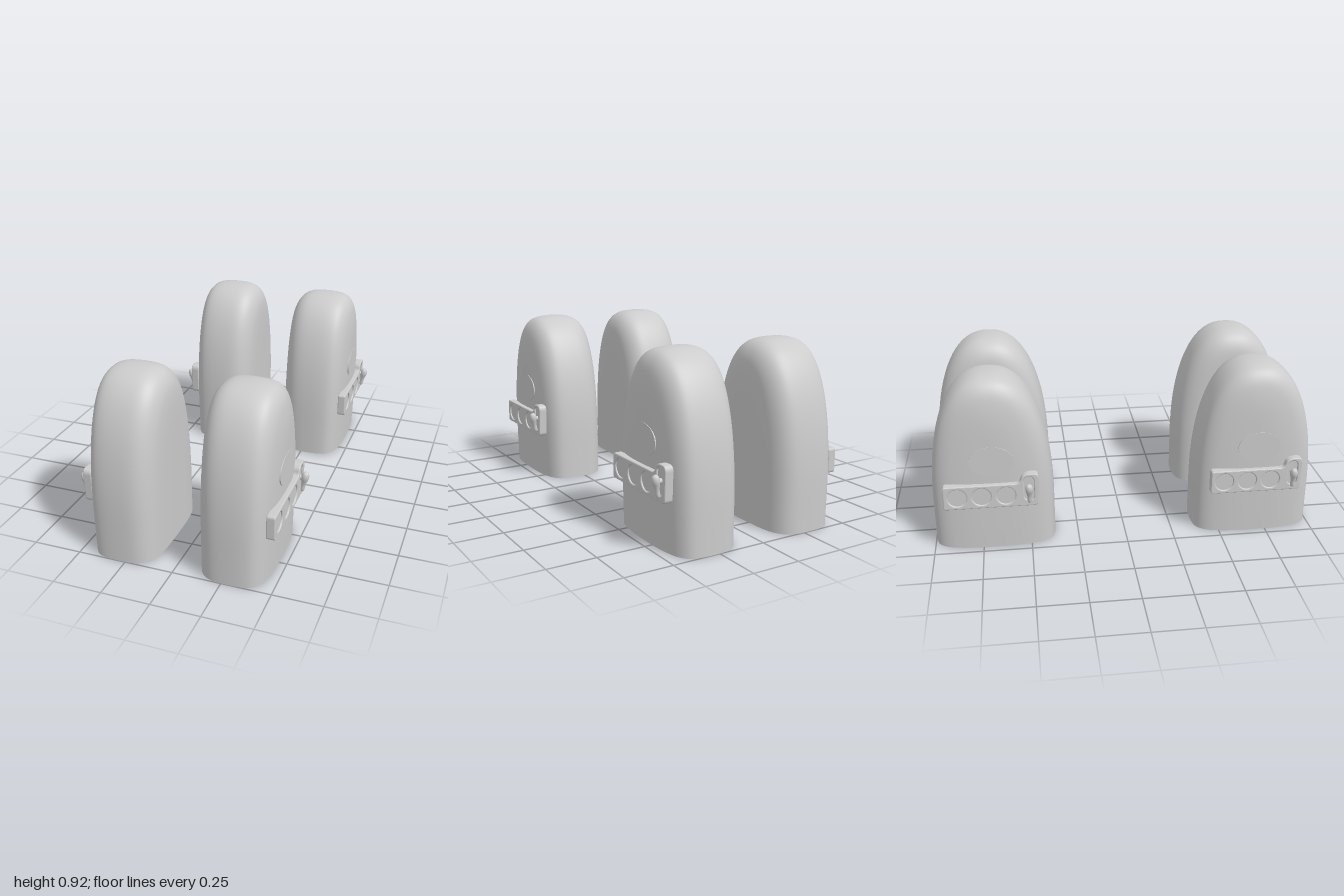
import * as THREE from 'three';

const material = new THREE.MeshStandardMaterial({ color: 0xcccccc, side: THREE.DoubleSide });

function addMesh(parent, name, geometry) {
  const mesh = new THREE.Mesh(geometry, material);
  mesh.name = name;
  parent.add(mesh);
  return mesh;
}

// Hollow hood: an arch lofted across x, shrinking toward both side faces. Open below.
function shellGeometry() {
  const half = 0.315, height = 0.92, spring = 0.2, p = 2.35;
  const arch = [[1, 0], [1, spring / 2]];
  const steps = 48;
  for (let i = 0; i <= steps; i++) {
    const a = (Math.PI * i) / steps;
    const c = Math.cos(a), s = Math.max(0, Math.sin(a));
    arch.push([Math.sign(c) * Math.abs(c) ** (2 / p), spring + (height - spring) * s ** (2 / p)]);
  }
  arch.push([-1, spring / 2], [-1, 0]);

  // Pairs of x and inset, from the inner face to the outer face
  const profile = new THREE.SplineCurve([
    [0.103, 0.315], [0.104, 0.23], [0.108, 0.15], [0.12, 0.085], [0.15, 0.035], [0.2, 0.007],
    [0.28, 0], [0.36, 0.005], [0.41, 0.024], [0.443, 0.07], [0.46, 0.14], [0.468, 0.22], [0.47, 0.315],
  ].map(([x, d]) => new THREE.Vector2(x, d))).getPoints(48);

  const positions = [], index = [], n = arch.length;
  profile.forEach(({ x, y: inset }, i) => {
    const d = THREE.MathUtils.clamp(inset, 0, half);
    arch.forEach(([az, ay], j) => {
      const y = (ay * (height - d)) / height;
      const taper = 0.008 * Math.max(0, (x - 0.28) / 0.19) * Math.max(0, 1 - y / 0.6) ** 2;
      positions.push(x - taper, y, az * (half - d));
      if (i < profile.length - 1 && j < n - 1) {
        const a = i * n + j, b = a + n;
        index.push(a, b, a + 1, b, b + 1, a + 1);
      }
    });
  });
  const geometry = new THREE.BufferGeometry();
  geometry.setAttribute('position', new THREE.Float32BufferAttribute(positions, 3));
  geometry.setIndex(index);
  geometry.computeVertexNormals();
  return geometry;
}

function capsuleShape(u, y, w, h, Type = THREE.Path) {
  const r = w / 2, k = h / 2 - r;
  const path = new Type();
  path.absarc(u, y + k, r, 0, Math.PI);
  path.absarc(u, y - k, r, Math.PI, Math.PI * 2);
  path.closePath();
  return path;
}

// Control plate with a raised end, three round wells and a lever slot
function plateGeometry(wells) {
  const s = new THREE.Shape();
  s.moveTo(-0.235, 0.25);
  s.lineTo(0.205, 0.25);
  s.quadraticCurveTo(0.225, 0.25, 0.227, 0.27);
  s.lineTo(0.233, 0.4);
  s.quadraticCurveTo(0.233, 0.43, 0.205, 0.43);
  s.lineTo(0.185, 0.43);
  s.quadraticCurveTo(0.148, 0.428, 0.142, 0.4);
  s.quadraticCurveTo(0.136, 0.378, 0.11, 0.378);
  s.lineTo(-0.235, 0.378);
  s.quadraticCurveTo(-0.25, 0.378, -0.25, 0.363);
  s.lineTo(-0.25, 0.265);
  s.quadraticCurveTo(-0.25, 0.25, -0.235, 0.25);
  wells.forEach((u) => s.holes.push(new THREE.Path().absarc(u, 0.315, 0.048, 0, Math.PI * 2, true)));
  s.holes.push(capsuleShape(0.182, 0.348, 0.05, 0.135));
  return new THREE.ExtrudeGeometry(s, {
    depth: 0.033, bevelThickness: 0.006, bevelSize: 0.006, bevelOffset: -0.006, bevelSegments: 3, curveSegments: 16,
  });
}

function createPod() {
  const pod = new THREE.Group();
  addMesh(pod, 'shell', shellGeometry());

  // Controls are laid out facing +z, then turned onto the outer face
  const controls = new THREE.Group();
  controls.name = 'controls';
  controls.rotation.y = Math.PI / 2;
  pod.add(controls);

  const wells = [-0.18, -0.058, 0.065];
  addMesh(controls, 'controlPlate', plateGeometry(wells)).position.z = 0.454;
  wells.forEach((u) => {
    const button = addMesh(controls, 'roundButton', new THREE.CylinderGeometry(0.052, 0.052, 0.03, 32));
    button.rotation.x = Math.PI / 2;
    button.position.set(u, 0.315, 0.47);
  });
  const floor = addMesh(controls, 'slotFloor', new THREE.ExtrudeGeometry(
    capsuleShape(0.182, 0.348, 0.056, 0.141, THREE.Shape), { depth: 0.03, bevelEnabled: false }));
  floor.position.z = 0.453;

  // Oval pad above the plate
  const pad = addMesh(controls, 'ovalPad', new THREE.CylinderGeometry(1, 1, 0.012, 48));
  pad.rotation.x = Math.PI / 2;
  pad.scale.set(0.11, 1, 0.079);
  pad.position.set(0, 0.5, 0.4655);

  // Lever: a slim tapered handle on a short pivot
  const outline = [[0, 0], [0.008, 0.003], [0.011, 0.015], [0.011, 0.035], [0.014, 0.055],
    [0.019, 0.075], [0.019, 0.092], [0.013, 0.107], [0, 0.113]];
  const lever = addMesh(controls, 'lever', new THREE.LatheGeometry(
    new THREE.SplineCurve(outline.map(([r, h]) => new THREE.Vector2(r, h))).getPoints(24)
      .map((v) => new THREE.Vector2(Math.max(0, v.x), v.y)), 20));
  lever.position.set(0.182, 0.272, 0.497);
  lever.rotation.x = 0.17;
  const pivot = addMesh(controls, 'leverPivot', new THREE.CylinderGeometry(0.011, 0.014, 0.045, 16));
  pivot.rotation.x = Math.PI / 2;
  pivot.position.set(0.182, 0.35, 0.495);
  return pod;
}

export function createModel() {
  const model = new THREE.Group();
  model.name = 'podSet';
  // Two pods per side, each turned so its controls face outward
  for (const [side, turn] of [['left', 0], ['right', Math.PI]]) {
    for (const [end, z] of [['front', 0.685], ['rear', -0.685]]) {
      const pod = createPod();
      pod.name = `${end}-${side}-pod`;
      pod.rotation.y = turn;
      pod.position.z = z;
      model.add(pod);
    }
  }
  return model;
}
